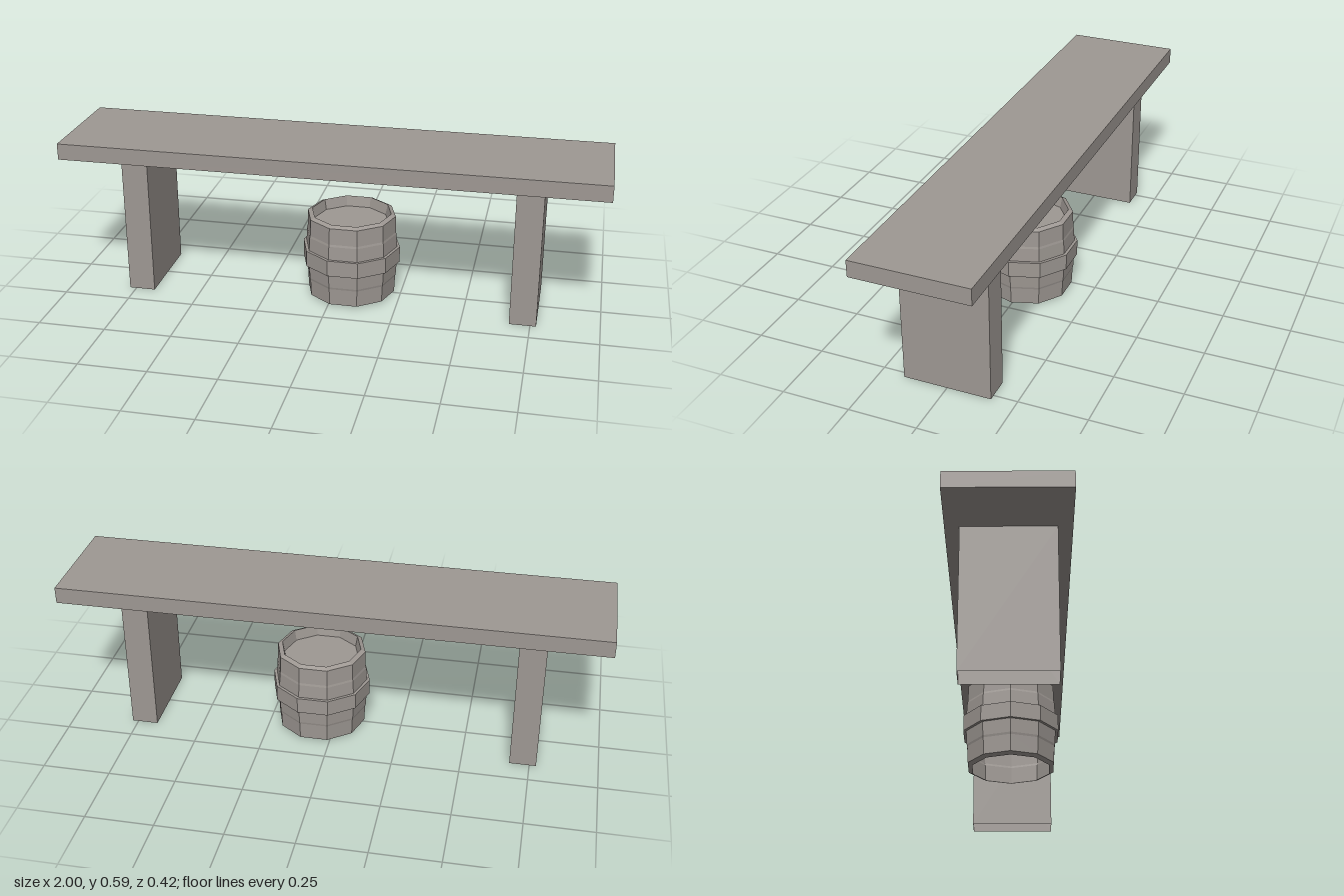
import * as THREE from 'three';

export function createModel() {
  const model = new THREE.Group();
  model.name = 'benchWithBarrel';
  const stone = new THREE.MeshStandardMaterial({ color: 0x9e9893, flatShading: true, side: THREE.DoubleSide });
  stone.name = 'warmGrey';

  const add = (name, geometry, x, y, z, parent = model) => {
    const mesh = new THREE.Mesh(geometry, stone);
    mesh.name = name;
    mesh.position.set(x, y, z);
    parent.add(mesh);
    return mesh;
  };

  // Long seat slab
  add('seat', new THREE.BoxGeometry(2, 0.061, 0.424), 0, 0.5575, 0);

  // Slab legs: hollow boxes, open at top and bottom
  const legGeometry = new THREE.BoxGeometry(0.098, 0.527, 0.324);
  const index = Array.from(legGeometry.index.array);
  legGeometry.setIndex([...index.slice(0, 12), ...index.slice(24)]);
  legGeometry.clearGroups();
  add('rightLeg', legGeometry, -0.726, 0.2635, 0);
  add('leftLeg', legGeometry, 0.723, 0.2635, 0);

  // Ten-sided barrel, with one flat side facing the front
  const barrel = new THREE.Group();
  barrel.name = 'barrel';
  barrel.position.set(0.059, 0, 0);
  model.add(barrel);
  const ring = (points) => new THREE.LatheGeometry(
    points.map(([r, y]) => new THREE.Vector2(r, y)), 10, Math.PI / 10);

  // Staves with bevelled rims; the underside is open
  add('staves', ring([
    [0.148, 0], [0.166, 0.008], [0.169, 0.072], [0.171, 0.08],
    [0.174, 0.133], [0.174, 0.194], [0.171, 0.246], [0.169, 0.254],
    [0.167, 0.317], [0.15, 0.325], [0.142, 0.285],
  ]), 0, 0, 0, barrel);

  // Raised middle hoop
  add('hoop', ring([
    [0.173, 0.133], [0.185, 0.133], [0.185, 0.194], [0.173, 0.194],
  ]), 0, 0, 0, barrel);

  // Sunken lid
  add('lid', ring([[0.142, 0.285], [0, 0.285]]), 0, 0, 0, barrel);

  return model;
}
